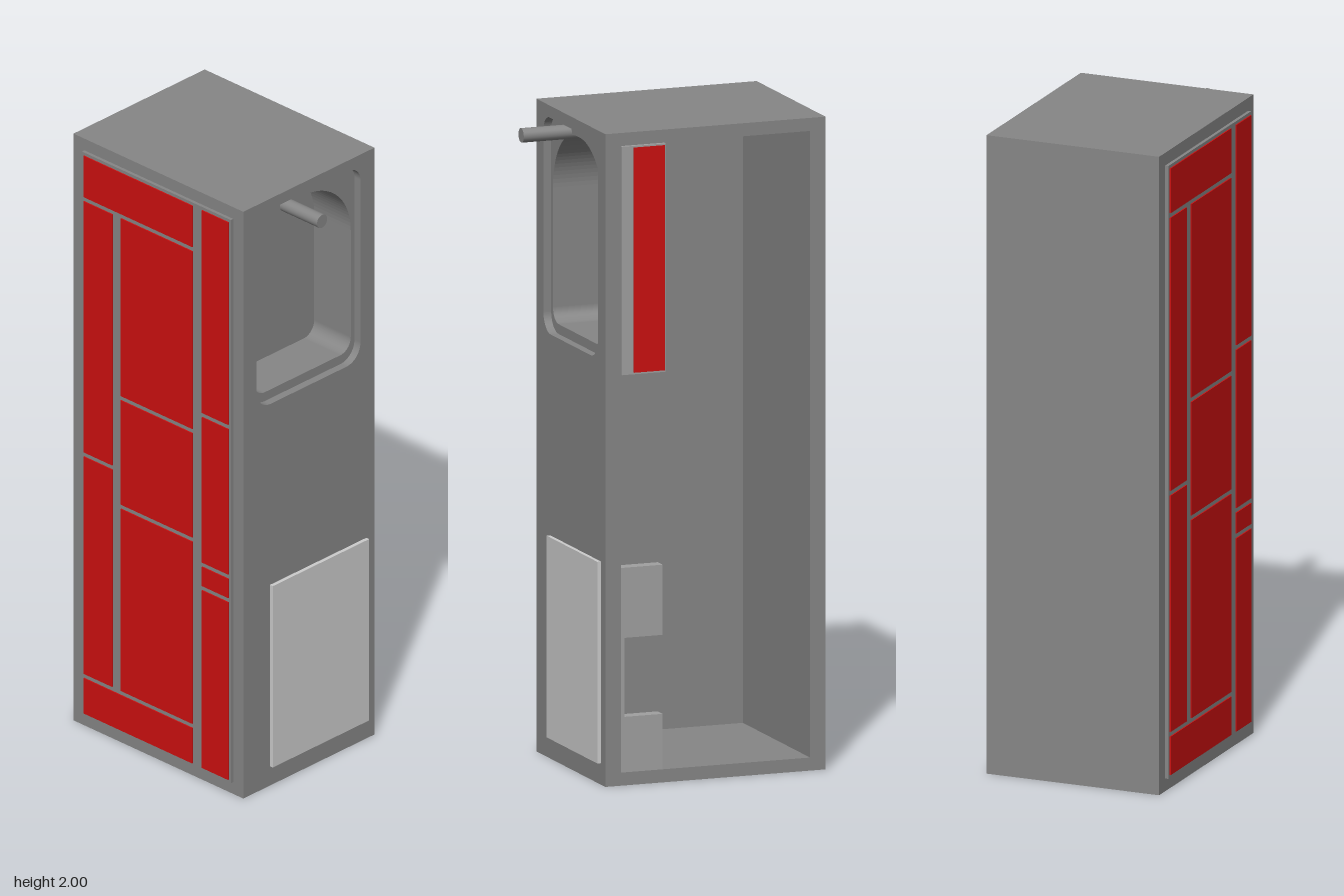
import * as THREE from 'three';

const mat = (color) => new THREE.MeshStandardMaterial({ color, flatShading: true });

export function createModel() {
  const model = new THREE.Group();
  const dark = mat(0x868686), mid = mat(0xa0a0a0), light = mat(0xcccccc), red = mat(0xcc1010);

  const add = (name, geometry, material) => {
    const mesh = new THREE.Mesh(geometry, material);
    mesh.name = name;
    model.add(mesh);
    return mesh;
  };
  // Box given by its limits on each axis
  const box = (name, [x0, x1], [y0, y1], [z0, z1], material = dark) => {
    const mesh = add(name, new THREE.BoxGeometry(x1 - x0, y1 - y0, z1 - z0), material);
    mesh.position.set((x0 + x1) / 2, (y0 + y1) / 2, (z0 + z1) / 2);
    return mesh;
  };
  // Rectangle with separate bottom and top corner radii
  const rounded = (x0, x1, y0, y1, rb, rt, Type = THREE.Path) => {
    const p = new Type();
    p.moveTo(x0 + rb, y0);
    p.lineTo(x1 - rb, y0);
    if (rb) p.absarc(x1 - rb, y0 + rb, rb, -Math.PI / 2, 0);
    p.lineTo(x1, y1 - rt);
    if (rt) p.absarc(x1 - rt, y1 - rt, rt, 0, Math.PI / 2);
    p.lineTo(x0 + rt, y1);
    if (rt) p.absarc(x0 + rt, y1 - rt, rt, Math.PI / 2, Math.PI);
    p.lineTo(x0, y0 + rb);
    if (rb) p.absarc(x0 + rb, y0 + rb, rb, Math.PI, Math.PI * 1.5);
    return p;
  };
  const plate = (name, limits, hole, z0, z1, material = dark) => {
    const shape = rounded(...limits, 0, 0, THREE.Shape);
    shape.holes.push(hole);
    const geometry = new THREE.ExtrudeGeometry(shape, { depth: z1 - z0, bevelEnabled: false, curveSegments: 12 });
    add(name, geometry, material).position.z = z0;
  };

  // Cabinet shell, open on the left side
  const W = 0.2825;
  box('backWall', [-W, W], [0, 2], [-0.42, -0.37]);
  box('roof', [-W, W], [1.96, 2], [-0.37, 0.24]);
  box('floor', [-W, W], [0, 0.04], [-0.37, 0.24]);
  box('sideWall', [-W, -0.268], [0.04, 1.96], [-0.37, 0.24]);
  plate('frontWall', [-W, W, 0, 2], rounded(-0.225, 0.222, 1.3, 1.963, 0.06, 0.05), 0.24, 0.29);

  // Arched niche behind the front window
  plate('nicheHousing', [-0.268, 0.25, 1.26, 1.96], rounded(-0.21, 0.206, 1.33, 1.935, 0.045, 0.195), 0.11, 0.265);
  box('nicheBack', [-0.268, 0.25], [1.26, 1.96], [0.1, 0.112]);
  box('nicheSide', [0.25, 0.294], [1.26, 1.96], [0.1, 0.24], mid);
  box('nicheSideInlay', [0.28, 0.2955], [1.265, 1.955], [0.102, 0.203], red);

  // Spout at the top of the niche
  const spout = add('spout', new THREE.CylinderGeometry(0.022, 0.022, 0.18, 24).rotateX(Math.PI / 2), mat(0x868686));
  spout.material.flatShading = false;
  spout.position.set(-0.077, 1.937, 0.33);

  // Lower front panel
  box('frontPanel', [-0.168, 0.247], [0.066, 0.684], [0.29, 0.302], light);

  // C-shaped bracket inside the open side
  const bracket = new THREE.Shape();
  [[0.24, 0.04], [0.105, 0.04], [0.105, 0.21], [0.228, 0.21], [0.228, 0.452], [0.105, 0.452], [0.105, 0.667], [0.24, 0.667]]
    .forEach(([z, y], i) => (i ? bracket.lineTo(-z, y) : bracket.moveTo(-z, y)));
  const bracketGeometry = new THREE.ExtrudeGeometry(bracket, { depth: 0.04, bevelEnabled: false });
  add('bracket', bracketGeometry.rotateY(Math.PI / 2), mid).position.x = 0.242;

  // Cladding on the closed side: grey backing with red panels
  box('claddingBacking', [-0.293, -W], [0.04, 1.96], [-0.375, 0.248]);
  const panels = [
    [-0.365, 0.09, 1.81, 1.95], [-0.365, 0.09, 0.05, 0.17],
    [-0.365, -0.245, 0.94, 1.795], [-0.365, -0.245, 0.185, 0.925],
    [-0.21, 0.09, 1.19, 1.795], [-0.21, 0.09, 0.82, 1.175], [-0.21, 0.09, 0.185, 0.805],
    [0.13, 0.24, 1.26, 1.95], [0.13, 0.24, 0.75, 1.245], [0.13, 0.24, 0.67, 0.735], [0.13, 0.24, 0.05, 0.655],
  ];
  for (const [z0, z1, y0, y1] of panels) box('claddingPanel', [-0.297, -0.29], [y0, y1], [z0, z1], red);

  return model;
}
